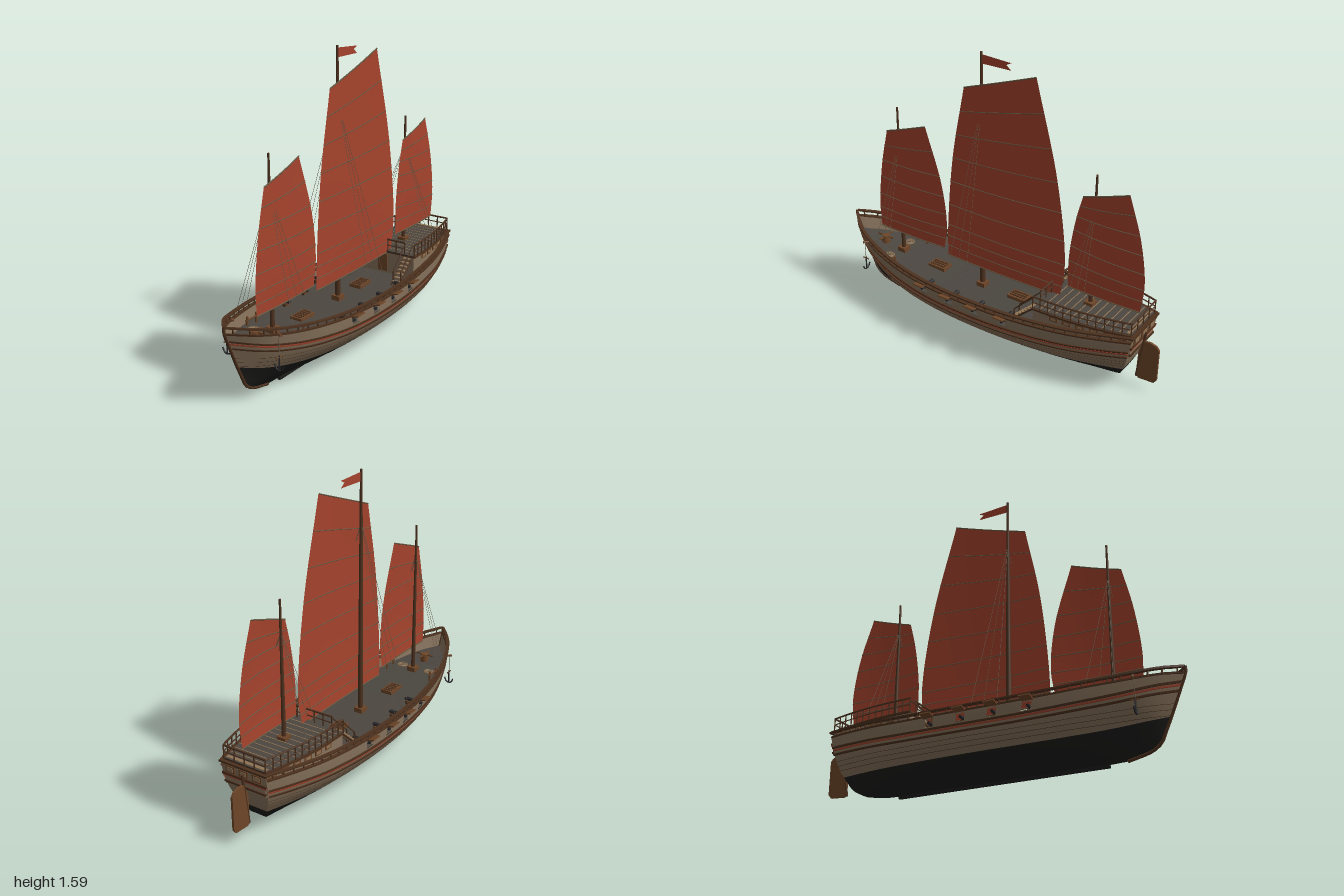
import * as THREE from 'three';

const mat = (name, color, side = THREE.FrontSide) => Object.assign(new THREE.MeshStandardMaterial({ color, side }), { name });
const D = THREE.DoubleSide;
const M = {
  sail: mat('sail red', 0xa5432d, D), batten: mat('batten olive', 0x665a44), hull: mat('hull timber', 0x86725b, D),
  dark: mat('dark wood', 0x4d311e, D), wood: mat('brown wood', 0x6e4628), tan: mat('pale wood', 0x8f7354),
  deck: mat('deck grey', 0x4b4640, D), black: mat('tarred black', 0x1d1c1b, D),
  iron: mat('iron', 0x27272a), rope: mat('rope', 0x6b5d48),
};

// Smooth lookup through [t, value] points
function curve(pts) {
  const n = pts.length;
  const slope = i => {
    const a = pts[Math.max(0, i - 1)], b = pts[Math.min(n - 1, i + 1)];
    return (b[1] - a[1]) / (b[0] - a[0]);
  };
  return t => {
    t = THREE.MathUtils.clamp(t, pts[0][0], pts[n - 1][0]);
    let i = 0;
    while (i < n - 2 && t > pts[i + 1][0]) i++;
    const [x0, y0] = pts[i], [x1, y1] = pts[i + 1], h = x1 - x0, s = (t - x0) / h, s2 = s * s, s3 = s2 * s;
    return (2 * s3 - 3 * s2 + 1) * y0 + (s3 - 2 * s2 + s) * h * slope(i) + (3 * s2 - 2 * s3) * y1 + (s3 - s2) * h * slope(i + 1);
  };
}

// Hull form: u runs stern to bow, v runs keel to sheer
const halfWidth = curve([[0, .135], [.06, .172], [.163, .222], [.268, .25], [.374, .266], [.48, .27], [.584, .264], [.69, .245], [.795, .207], [.9, .14], [.953, .085], [1, .004]]);
const sheer = curve([[0, .35], [.27, .315], [.48, .305], [.65, .31], [.8, .333], [.9, .36], [1, .4]]);
const bowZ = curve([[0, .68], [.1, .815], [.3, .87], [1, .985]]);
const sternZ = curve([[0, -.64], [.1, -.785], [.3, -.84], [.6, -.88], [1, -.91]]);
const uOf = z => (z + .91) / 1.895;
function P(u, v, side = 1, out = 0) {
  const keel = .009 + .008 * Math.abs(2 * u - 1) ** 4;
  const fullness = 3 - 1.3 * u ** 6 - .8 * (1 - u) ** 6;
  const x = halfWidth(u) * (1 - Math.max(0, 1 - v) ** fullness) + out;
  return [Math.max(0, x) * side, THREE.MathUtils.lerp(keel, sheer(u), v), THREE.MathUtils.lerp(sternZ(v), bowZ(v), u)];
}
// Raises the paint line towards the bow
const paint = .35;
const warp = (u, v) => v + .12 * u ** 8 * (v <= paint ? v / paint : (1 - v) / (1 - paint));

const range = (a, b, n) => Array.from({ length: n + 1 }, (_, i) => a + (b - a) * i / n);
function grid(fn, us, vs, skip = () => false, flip = false) {
  const pos = [], idx = [], w = vs.length;
  us.forEach(u => vs.forEach(v => pos.push(...fn(u, v))));
  for (let i = 0; i < us.length - 1; i++) for (let j = 0; j < w - 1; j++) {
    if (skip((us[i] + us[i + 1]) / 2, (vs[j] + vs[j + 1]) / 2)) continue;
    const a = i * w + j, b = a + 1, c = a + w, d = c + 1;
    idx.push(...(flip ? [a, b, c, b, d, c] : [a, c, b, b, c, d]));
  }
  const g = new THREE.BufferGeometry();
  g.setAttribute('position', new THREE.Float32BufferAttribute(pos, 3));
  g.setIndex(idx);
  g.computeVertexNormals();
  return g;
}

export function createModel() {
  const root = new THREE.Group();
  root.name = 'sailingShip';
  const add = (name, geo, m, p = [0, 0, 0], r = [0, 0, 0], parent = root) => {
    const mesh = new THREE.Mesh(geo, m);
    mesh.name = name;
    mesh.position.set(...p);
    mesh.rotation.set(...r);
    parent.add(mesh);
    return mesh;
  };
  const box = (name, w, h, d, m, p, r, parent) => add(name, new THREE.BoxGeometry(w, h, d), m, p, r, parent);
  const bar = (name, a, b, r, m, r2 = r, sides = 6) => {
    const A = new THREE.Vector3(...a), B = new THREE.Vector3(...b), dir = B.clone().sub(A);
    const mesh = add(name, new THREE.CylinderGeometry(r2, r, dir.length(), sides), m, A.clone().add(B).multiplyScalar(.5).toArray());
    mesh.quaternion.setFromUnitVectors(new THREE.Vector3(0, 1, 0), dir.normalize());
  };
  const tube = (name, pts, r, m, n = 20) => add(name, new THREE.TubeGeometry(
    new THREE.CatmullRomCurve3(pts.map(p => new THREE.Vector3(...p))), n, r, 6), m);

  // Hull shell with open gunports
  const portZ = [.3, .12, -.05, -.23];
  const us = [...range(0, 1, 50), ...portZ.flatMap(z => [uOf(z - .027), uOf(z + .027)])].sort((a, b) => a - b);
  const isPort = (u, v) => v > .81 && v < .96 && portZ.some(z => Math.abs(u - uOf(z)) < .0142);
  const topRows = [paint, .45, .53, .61, .69, .75, .81, .96, 1];
  for (const s of [1, -1]) {
    add('lowerHull', grid((u, v) => P(u, warp(u, v), s), us, range(0, paint, 9), undefined, s > 0), M.black);
    add('upperHull', grid((u, v) => P(u, v > .8 ? v : warp(u, v), s), us, topRows, isPort, s > 0), M.hull);
    add('innerBulwark', grid((u, v) => P(u, v, s, -.012), us, [.78, .81, .96, 1], isPort, s < 0), M.hull);
  }
  const across = (a, v) => { const p = P(0, v); return [p[0] * a, p[1], p[2]]; };
  add('sternBottom', grid(across, [-1, 1], range(0, paint, 6), undefined, true), M.black);
  add('transom', grid(across, [-1, 1], range(paint, 1, 8), undefined, true), M.hull);
  add('mainDeck', grid((u, a) => { const p = P(u, .8, 1, -.005); return [p[0] * a, p[1], p[2]]; }, range(0, 1, 50), [-1, 0, 1]), M.deck);

  // Strakes swept along both sides
  const band = (name, v, h, inn, out, m, lift = 0) => [1, -1].forEach(s => {
    const ring = [[-1, inn], [-1, out], [1, out], [1, inn], [-1, inn]];
    const g = grid((u, k) => P(u, v + lift * (u ** 6 + .4 * (1 - u) ** 4) + ring[k][0] * h / 2, s, ring[k][1]), range(0, 1, 50), [0, 1, 2, 3, 4], undefined, s < 0).toNonIndexed();
    g.computeVertexNormals();
    add(name, g, m);
  });
  band('capRail', 1.075, .026, -.014, .007, M.dark);
  band('sheerStrake', .99, .026, -.013, .005, M.dark);
  band('upperWale', .76, .028, -.005, .008, M.dark, .12);
  band('redStripe', .722, .024, -.005, .005, M.sail, .12);
  band('lowerWale', .65, .026, -.005, .008, M.dark, .12);
  for (const v of [.43, .5, .57]) band('plankSeam', v, .004, -.004, .001, M.dark, .05);
  for (const s of [1, -1]) for (const u of range(.02, .985, 32)) bar('railPost', P(u, .98, s, -.005), P(u, 1.07, s, -.005), .004, M.dark);
  tube('stem', range(0, 1.08, 12).map(v => { const p = P(1, v); return [0, p[1], p[2] + .002]; }), .008, M.dark);
  box('keel', .016, .014, 1.15, M.black, [0, .007, .02]);

  // Stern trim
  box('sternRail', .285, .01, .018, M.dark, [0, .372, -.91]);
  box('sternBeam', .265, .01, .012, M.dark, [0, .31, -.905]);
  box('sternRedStripe', .262, .008, .008, M.sail, [0, .301, -.905]);
  box('sternLowerBeam', .25, .01, .012, M.dark, [0, .265, -.9]);

  // Rudder
  const rud = new THREE.Shape([[.885, .07], [.9, .055], [.985, .06], [1, .08], [1, .26], [.985, .28], [.95, .29], [.915, .285], [.89, .22]].map(p => new THREE.Vector2(...p)));
  add('rudder', new THREE.ExtrudeGeometry(rud, { depth: .012, bevelEnabled: false }), M.wood, [-.006, 0, 0], [0, Math.PI / 2, 0]);
  bar('rudderStock', [0, .06, -.885], [0, .34, -.92], .007, M.dark);

  // Cabin and raised stern deck
  const poopHalf = z => halfWidth(uOf(z)) * (.8 + .12 * (-.38 - z) / .52);
  const zs = range(-.38, -.9, 12);
  const plan = grow => new THREE.Shape([...zs.map(z => new THREE.Vector2(poopHalf(z) + grow, -z)), ...[...zs].reverse().map(z => new THREE.Vector2(-poopHalf(z) - grow, -z))]);
  const slab = (name, grow, y, h, m) => add(name, new THREE.ExtrudeGeometry(plan(grow), { depth: h, bevelEnabled: false }), m, [0, y, 0], [-Math.PI / 2, 0, 0]);
  slab('cabin', -.006, .25, .124, M.hull);
  slab('poopEdge', .003, .374, .01, M.dark);
  slab('poopDeck', -.008, .384, .002, M.deck);
  for (const z of range(-.42, -.84, 10)) box('deckPlankLine', 2 * poopHalf(z) - .02, .002, .005, M.tan, [0, .387, z]);
  box('sternDeckBeam', .24, .004, .02, M.tan, [0, .387, -.882]);
  for (const s of [1, -1]) for (const z of range(-.5, -.86, 5)) {
    const yaw = s * Math.atan((poopHalf(z + .02) - poopHalf(z - .02)) / .04);
    box('cabinWindowFrame', .006, .026, .046, M.wood, [s * (poopHalf(z) - .005), .357, z], [0, yaw, 0]);
    box('cabinWindow', .008, .014, .028, M.tan, [s * (poopHalf(z) - .005), .357, z], [0, yaw, 0]);
  }
  for (const x of [-.08, 0, .08]) {
    box('sternWindowFrame', .054, .036, .006, M.wood, [x, .341, -.91]);
    box('sternWindow', .036, .022, .008, M.tan, [x, .341, -.911]);
  }
  box('cabinDoor', .06, .1, .008, M.wood, [0, .315, -.378]);

  // Stern deck railing
  for (const y of [.418, .452]) {
    const r = y > .44 ? .005 : .003, pt = (z, s) => [s * (poopHalf(z) - .002), y, z];
    for (const s of [1, -1]) tube('poopRail', zs.map(z => pt(z, s)), r, M.dark);
    bar('poopSternRail', pt(-.9, 1), pt(-.9, -1), r, M.dark);
    bar('poopFrontRail', [-.135, y, -.385], [.135, y, -.385], r, M.dark);
  }
  for (const s of [1, -1]) for (const z of zs) bar('poopPost', [s * (poopHalf(z) - .002), .38, z], [s * (poopHalf(z) - .002), .452, z], .0035, M.dark);
  for (const x of range(-.135, .135, 5)) bar('poopFrontPost', [x, .38, -.385], [x, .452, -.385], .0035, M.dark);
  for (const x of [-.06, 0, .06]) bar('poopSternPost', [x, .38, -.9], [x, .452, -.9], .0035, M.dark);

  // Stairs
  for (const s of [1, -1]) {
    for (let i = 0; i < 7; i++) box('stairTread', .045, .008, .019, M.tan, [s * .162, .27 + i * .0165, -.255 - i * .018]);
    for (const x of [.138, .186]) {
      bar('stairStringer', [s * x, .25, -.24], [s * x, .375, -.38], .005, M.dark);
      bar('stairHandrail', [s * x, .325, -.26], [s * x, .445, -.385], .003, M.dark);
      bar('stairPost', [s * x, .255, -.26], [s * x, .325, -.26], .004, M.dark);
    }
  }

  // Guns and port lids
  for (const s of [1, -1]) for (const z of portZ) {
    const gun = new THREE.Group(), w = halfWidth(uOf(z));
    gun.name = 'gun';
    gun.position.set(s * (w - .05), .272, z);
    gun.rotation.y = s > 0 ? 0 : Math.PI;
    root.add(gun);
    add('barrel', new THREE.CylinderGeometry(.008, .012, .1, 12), M.iron, [0, .002, 0], [0, 0, -Math.PI / 2], gun);
    add('breechKnob', new THREE.SphereGeometry(.007, 8, 6), M.iron, [-.054, .002, 0], [0, 0, 0], gun);
    box('carriage', .065, .014, .034, M.wood, [-.015, -.01, 0], undefined, gun);
    for (const x of [-.035, .005]) for (const k of [-.019, .019])
      add('wheel', new THREE.CylinderGeometry(.008, .008, .005, 10), M.dark, [x, -.016, k], [Math.PI / 2, 0, 0], gun);
    box('portLid', .042, .007, .06, M.wood, [s * (w + .018), .306, z], [0, 0, s * .3]);
  }

  // Deck fittings
  for (const z of [.38, -.16]) {
    const y = P(uOf(z), .8)[1];
    box('hatchCoaming', .07, .02, .11, M.wood, [-.01, y + .008, z]);
    for (const k of range(-.04, .04, 4)) box('hatchSlat', .055, .004, .005, M.dark, [-.01, y + .019, z + k]);
    for (const k of [-.018, 0, .018]) box('hatchSlat', .005, .005, .095, M.dark, [k - .01, y + .019, z]);
  }
  const bowY = P(uOf(.77), .8)[1];
  add('capstan', new THREE.CylinderGeometry(.022, .026, .05, 12), M.wood, [0, bowY + .022, .77]);
  for (const r of [0, Math.PI / 2]) box('capstanBar', .11, .007, .007, M.wood, [0, bowY + .042, .77], [0, r, 0]);
  for (const s of [1, -1]) {
    const y = P(uOf(.66), .8)[1];
    for (const r of [.012, .02, .028]) add('ropeCoil', new THREE.TorusGeometry(r, .0035, 6, 18), M.tan, [s * .09, y + .004, .67], [Math.PI / 2, 0, 0]);
    for (const z of [.58, .65]) bar('bitt', [s * .145, y - .01, z], [s * .145, y + .05, z], .006, M.wood);
    bar('bittCrossbar', [s * .145, y + .03, .57], [s * .145, y + .03, .66], .005, M.wood);
    // Anchor hanging from its beam
    const ax = .158, az = .79;
    bar('anchorBeam', [s * .13, .352, .765], [s * (ax + .014), .358, az], .007, M.wood);
    bar('anchorRope', [s * ax, .352, az], [s * ax, .255, az], .0015, M.rope);
    bar('anchorShank', [s * ax, .255, az], [s * ax, .18, az], .004, M.iron);
    bar('anchorStock', [s * ax, .247, az - .02], [s * ax, .247, az + .02], .0035, M.wood);
    tube('anchorArms', [[-.028, .207], [-.016, .184], [0, .178], [.016, .184], [.028, .207]].map(([dx, h]) => [s * ax + dx, h, az]), .004, M.iron, 12);
  }

  // Masts, battened sails and shrouds
  const rigs = [
    { name: 'fore', z: .635, top: 1.165, r: .012, base: .28, n: 7, stay: .98, spread: .06,
      luff: [[.775, .41], [.78, .55], [.75, .8], [.7, 1.02]], leech: [[.32, .41], [.3, .56], [.33, .8], [.43, 1.11]] },
    { name: 'main', z: .075, top: 1.59, r: .015, base: .25, n: 9, stay: 1.32, spread: .07,
      luff: [[.295, .375], [.29, .57], [.25, .98], [.17, 1.39]], leech: [[-.43, .375], [-.453, .57], [-.395, 1.02], [-.26, 1.535]] },
    { name: 'aft', z: -.6, top: 1.115, r: .012, base: .38, n: 7, stay: .95, spread: .05,
      luff: [[-.475, .455], [-.475, .635], [-.505, .85], [-.54, .99]], leech: [[-.885, .455], [-.9, .61], [-.865, .84], [-.79, 1.07]] },
  ];
  for (const q of rigs) {
    bar(q.name + 'Mast', [0, q.base - .03, q.z], [0, q.top, q.z], q.r, M.dark, q.r * .45, 12);
    box(q.name + 'MastStep', .05, .026, .05, M.wood, [0, q.base + .01, q.z]);
    const edge = e => new THREE.CatmullRomCurve3(q[e].map(([z, y]) => new THREE.Vector3(0, y, z)));
    const A = edge('luff'), B = edge('leech');
    const at = (t, k) => {
      const p = A.getPoint(t).lerp(B.getPoint(t), k);
      return [.02 + .014 * Math.sin(Math.PI * k) * Math.sin(Math.PI * (.15 + .7 * t)), p.y, p.z];
    };
    add(q.name + 'Sail', grid(at, range(0, 1, 27), range(0, 1, 12)), M.sail);
    for (let i = 0; i <= q.n; i++) {
      const end = i === 0 || i === q.n;
      tube(q.name + (end ? 'Yard' : 'Batten'), range(0, 1, 6).map(k => at(i / q.n, k)), end ? .0035 : .0026, M.batten, 12);
    }
    for (const s of [1, -1]) for (const k of [-1, 0, 1]) {
      const z = q.z + k * q.spread;
      const foot = q.name === 'aft' ? [s * poopHalf(z), .43, z] : P(uOf(z), 1.06, s, -.004);
      bar(q.name + 'Shroud', [0, q.stay, q.z], foot, .001, M.rope, .001, 4);
    }
  }

  // Swallow-tailed pennant
  const flag = new THREE.Shape([[0, .002], [.175, .002], [.145, .025], [.175, .04], [0, .05]].map(p => new THREE.Vector2(...p)));
  add('pennant', new THREE.ShapeGeometry(flag), M.sail, [0, 1.527, .072], [0, Math.PI / 2, 0]);
  return root;
}
